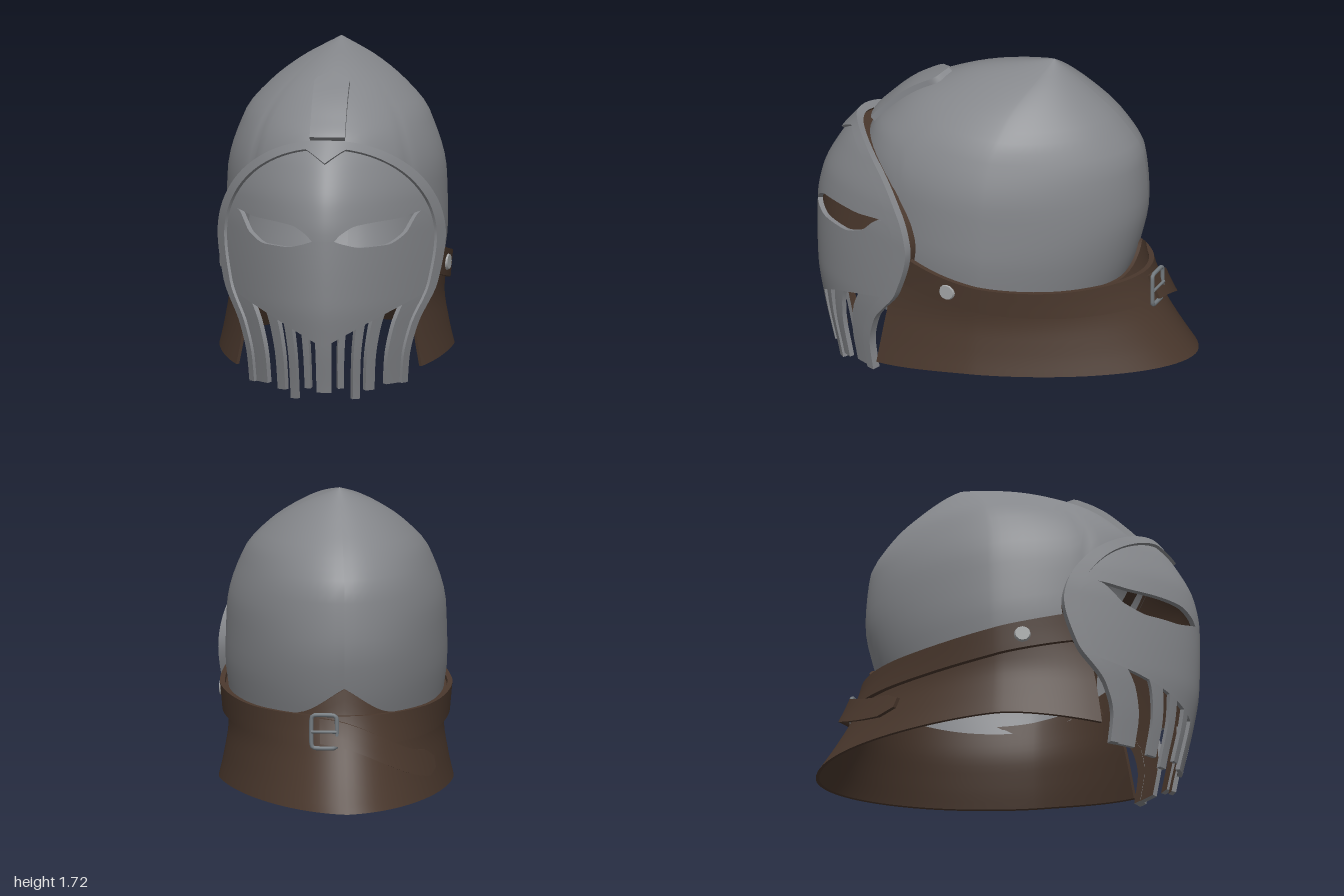
import * as THREE from 'three';

const material = (name, color) => {
  const m = new THREE.MeshStandardMaterial({ color, side: THREE.DoubleSide });
  m.name = name;
  return m;
};
const DEG = Math.PI / 180;

// Smooth monotone interpolation through [t, value] pairs in rising t
function interp(p) {
  const n = p.length;
  const d = p.slice(1).map((q, i) => (q[1] - p[i][1]) / (q[0] - p[i][0]));
  const m = p.map((_, i) => {
    if (i === 0) return d[0];
    if (i === n - 1) return d[n - 2];
    return d[i - 1] * d[i] <= 0 ? 0 : (2 * d[i - 1] * d[i]) / (d[i - 1] + d[i]);
  });
  return (t) => {
    if (t <= p[0][0]) return p[0][1];
    if (t >= p[n - 1][0]) return p[n - 1][1];
    let i = 0;
    while (t > p[i + 1][0]) i++;
    const h = p[i + 1][0] - p[i][0], s = (t - p[i][0]) / h;
    return p[i][1] + h * s * (m[i] + s * (3 * d[i] - 2 * m[i] - m[i + 1] + s * (m[i] + m[i + 1] - 2 * d[i])));
  };
}

// Curved plate: fn(u, v, offset) gives points; outside and walls are group 0, inside is group 1
function slab(fn, nu, nv, outer = 0, inner = outer) {
  const pos = [], idx = [];
  const sheet = (f, a, b) => {
    const base = pos.length / 3;
    for (let i = 0; i <= a; i++) for (let j = 0; j <= b; j++) pos.push(...f(i / a, j / b));
    for (let i = 0; i < a; i++) for (let j = 0; j < b; j++) {
      const k = base + i * (b + 1) + j, l = k + b + 1;
      idx.push(k, l, k + 1, l, l + 1, k + 1);
    }
  };
  const mix = (w) => outer + (inner - outer) * w;
  sheet((u, v) => fn(u, v, outer), nu, nv);
  let split = idx.length;
  if (outer !== inner) {
    for (const e of [0, 1]) {
      sheet((u, w) => fn(u, e, mix(w)), nu, 1);
      sheet((w, v) => fn(e, v, mix(w)), 1, nv);
    }
    split = idx.length;
    sheet((u, v) => fn(u, v, inner), nu, nv);
  }
  const g = new THREE.BufferGeometry();
  g.setAttribute('position', new THREE.Float32BufferAttribute(pos, 3));
  g.setIndex(idx);
  g.computeVertexNormals();
  g.addGroup(0, split, 0);
  g.addGroup(split, idx.length - split, 1);
  return g;
}

// Dome profiles by height
const domeW = interp([[0.5, 0.53], [0.65, 0.55], [0.8, 0.567], [1.07, 0.56], [1.37, 0.47], [1.51, 0.35], [1.62, 0.2], [1.72, 0]]);
const domeFront = interp([[0.5, 0.74], [1, 0.76], [1.15, 0.75], [1.3, 0.7], [1.4, 0.61], [1.5, 0.49], [1.58, 0.33], [1.64, 0.17], [1.72, -0.24]]);
const domeBack = interp([[0.5, -0.6], [0.72, -0.68], [0.98, -0.73], [1.23, -0.71], [1.41, -0.6], [1.57, -0.43], [1.72, -0.24]]);
const domeMid = interp([[0.5, 0.05], [1.2, 0.03], [1.5, -0.06], [1.72, -0.24]]);
const domeEdge = interp([[0, 1.24], [20, 1.2], [35, 1.12], [45, 1], [52, 0.7], [90, 0.6], [135, 0.56], [180, 0.55]]);

// Pointed oval, front at angle 0
function oval(deg, w, front, back, mid) {
  const s = Math.sin(deg * DEG), c = Math.cos(deg * DEG);
  const z = c > 0 ? (front - mid) * c ** 1.15 : (back - mid) * (-c) ** 1.3;
  return [w * s, mid + z];
}
function domePoint(u, v) {
  const deg = -180 + 360 * u;
  const y = 1.72 + (domeEdge(Math.abs(deg)) - 1.72) * v ** 1.7;
  const [x, z] = oval(deg, domeW(y), domeFront(y), domeBack(y), domeMid(y));
  return [x, y, z];
}

// Mask surface: u is a fraction of the half width at height y
const maskW = interp([[0, 0.385], [0.08, 0.39], [0.2, 0.4], [0.36, 0.44], [0.56, 0.53], [0.8, 0.565], [1.4, 0.566]]);
const maskZ = interp([[0, 0.9], [0.05, 0.91], [0.3, 0.965], [0.5, 0.995], [0.7, 1], [0.85, 0.997], [1, 0.97], [1.2, 0.87], [1.32, 0.775]]);
function maskPoint(u, y, off = 0) {
  const x = u * maskW(y), ax = Math.abs(x);
  const n = new THREE.Vector3(2.97 * ax ** 0.8 * Math.sign(x), -(maskZ(y + 0.01) - maskZ(y - 0.01)) / 0.02, 1).normalize();
  return [x + n.x * off, y + n.y * off, maskZ(y) - 1.65 * ax ** 1.8 + n.z * off];
}
const slotTop = (u) => 0.28 + 0.24 * Math.abs(u);
const maskTop = (u) => 0.79 + 0.52 * Math.sqrt(Math.max(0, 1 - u * u));
const eyeLow = interp([[0.1, 0.83], [0.2, 0.81], [0.35, 0.79], [0.55, 0.79], [0.7, 0.83], [0.8333, 0.935], [1, 0.79]]);
const eyeHigh = interp([[0.1, 0.83], [0.16, 0.865], [0.3, 0.905], [0.5, 0.915], [0.65, 0.917], [0.8333, 0.935], [1, 0.79]]);
const between = (lo, hi) => (u, v, off) => {
  const s = 2 * u - 1, a = Math.abs(s);
  return maskPoint(s, lo(a) + (hi(a) - lo(a)) * v, off);
};
// Point on the mask outline, s from -1 (one lower end) over the top to 1
function outline(s, k) {
  const t = 1 - Math.abs(s), side = Math.sign(s) || 1;
  if (t < 0.4) return [side * k, 0.06 + (0.73 * t) / 0.4];
  const th = ((t - 0.4) / 0.6) * Math.PI / 2;
  return [side * k * Math.cos(th), 0.79 + 0.52 * k * Math.sin(th)];
}

// Leather guard profiles by height
const guardW = interp([[0.13, 0.612], [0.3, 0.573], [0.46, 0.55], [0.6, 0.56], [0.75, 0.575]]);
const guardBack = interp([[0.15, -0.99], [0.3, -0.885], [0.46, -0.79], [0.6, -0.73], [0.75, -0.7]]);
const guardFront = interp([[0.14, 0.95], [0.45, 0.86], [0.62, 0.77], [0.77, 0.74]]);
const strapTop = interp([[50, 0.77], [77, 0.69], [90, 0.665], [135, 0.62], [180, 0.62]]);
const strapLow = interp([[50, 0.62], [77, 0.55], [90, 0.525], [135, 0.475], [180, 0.47]]);
const guardTop = interp([[50, 0.75], [77, 0.67], [90, 0.65], [135, 0.6], [155, 0.62], [180, 0.75]]);
const guardLow = interp([[50, 0.135], [90, 0.18], [135, 0.168], [180, 0.15]]);
function guardPoint(deg, y, off = 0) {
  const [x, z] = oval(deg, guardW(y), guardFront(y), guardBack(y), 0.06);
  return [x + Math.sin(deg * DEG) * off, y, z + Math.cos(deg * DEG) * off];
}
const wrap = (lo, hi) => (u, v, off) => {
  const deg = 51 + 258 * u, a = 180 - Math.abs(deg - 180);
  return guardPoint(deg, lo(a) + (hi(a) - lo(a)) * v, off);
};

export function createModel() {
  const steel = material('steel', 0x85878b), leather = material('leather', 0x49372c);
  const rivetMetal = material('rivet metal', 0xa3a5a6), buckleMetal = material('buckle metal', 0x747b80);
  const model = new THREE.Group();
  model.name = 'helmet';
  const add = (name, geometry, mats, parent = model) => {
    const mesh = new THREE.Mesh(geometry, mats);
    mesh.name = name;
    parent.add(mesh);
    return mesh;
  };

  add('dome', slab(domePoint, 72, 24), steel);

  // Face plate: brow, cheeks and hanging fingers
  const lined = [steel, leather];
  const mask = new THREE.Group();
  mask.name = 'mask';
  model.add(mask);
  add('brow', slab(between(eyeHigh, maskTop), 120, 14, 0, -0.025), lined, mask);
  add('cheeks', slab(between(slotTop, eyeLow), 120, 14, 0, -0.025), lined, mask);
  const finger = (u0, u1, low) => add('finger', slab((u, v, off) => {
    const s = u0 + (u1 - u0) * u;
    return maskPoint(s, low + (slotTop(s) - low) * v, off);
  }, 6, 10, 0, -0.025), lined, mask);
  finger(-0.1, 0.1, 0.04);
  for (const side of [-1, 1]) {
    for (const [a, b, low] of [[0.18, 0.26, 0.06], [0.37, 0.46, 0], [0.53, 0.64, 0.04], [0.78, 1, 0.06]]) {
      finger(side * a, side * b, low);
    }
  }
  // Raised border with a small point over the nose
  add('maskRim', slab((u, v, off) => {
    const [s, y] = outline(2 * u - 1, 1.01 - 0.07 * v);
    const point = y > 1 ? 0.07 * v * Math.max(0, 1 - Math.abs(s) / 0.17) : 0;
    return maskPoint(s, y - point, off);
  }, 140, 2, 0.016, -0.027), lined, mask);
  // Leather filling the gap between mask and dome
  add('maskLining', slab((u, v) => {
    const [s, y] = outline((2 * u - 1) * 0.72, 0.985);
    const p = maskPoint(s, y, -0.02), k = 1 - 0.14 * v;
    return [p[0] * k, 0.9 + (p[1] - 0.9) * k, p[2] * k];
  }, 80, 1), leather, mask);

  // Crest plate on the forehead
  add('crestPlate', slab((u, v, off) => {
    const y = 1.31 + 0.285 * v;
    const half = 0.09 * Math.min(1, 0.1 + (1 - v) / 0.11);
    const x = (2 * u - 1) * half;
    return [x, y + off * 0.7, domeFront(y) + off * 0.7 - 1.2 * x * x];
  }, 6, 24, 0.026, -0.02), lined);

  // Neck guard and the strap around it
  add('neckGuard', slab(wrap(guardLow, guardTop), 72, 12, 0, -0.018), leather);
  add('strap', slab(wrap(strapLow, strapTop), 72, 3, 0.028, 0.002), leather);
  add('strapTail', slab((u, v, off) => {
    const drop = u * u * (3 - 2 * u);
    const half = 0.062 * Math.min(1, 0.45 + (1 - u) / 0.15);
    return guardPoint(168 + 62 * u, 0.55 - 0.21 * drop + (2 * v - 1) * half, off + 0.02 * (1 - u));
  }, 24, 3, 0.055, 0.035), leather);

  // Rivets on both sides
  for (const side of [-1, 1]) {
    const rivet = new THREE.Group();
    rivet.name = 'rivet';
    rivet.position.set(...guardPoint(side * 77.5, 0.62, 0.03));
    rivet.rotation.y = side * 77.5 * DEG;
    add('rivetHead', new THREE.CylinderGeometry(0.038, 0.046, 0.018, 12).rotateX(Math.PI / 2), rivetMetal, rivet);
    model.add(rivet);
  }

  // Buckle: rounded frame with a prong
  const buckle = new THREE.Group();
  buckle.name = 'buckle';
  buckle.position.set(...guardPoint(170, 0.55, 0.075));
  buckle.rotation.y = 170 * DEG;
  const corners = [[-1, -0.75], [-0.75, -1], [0.75, -1], [1, -0.75], [1, 0.75], [0.75, 1], [-0.75, 1], [-1, 0.75]];
  const frame = new THREE.CatmullRomCurve3(corners.map(([x, y]) => new THREE.Vector3(x * 0.065, y * 0.085, 0)), true, 'catmullrom', 0.3);
  add('buckleFrame', new THREE.TubeGeometry(frame, 40, 0.011, 8, true), buckleMetal, buckle);
  add('buckleProng', new THREE.CylinderGeometry(0.008, 0.008, 0.13, 8).rotateZ(Math.PI / 2).translate(0, 0, 0.008), buckleMetal, buckle);
  model.add(buckle);

  return model;
}
